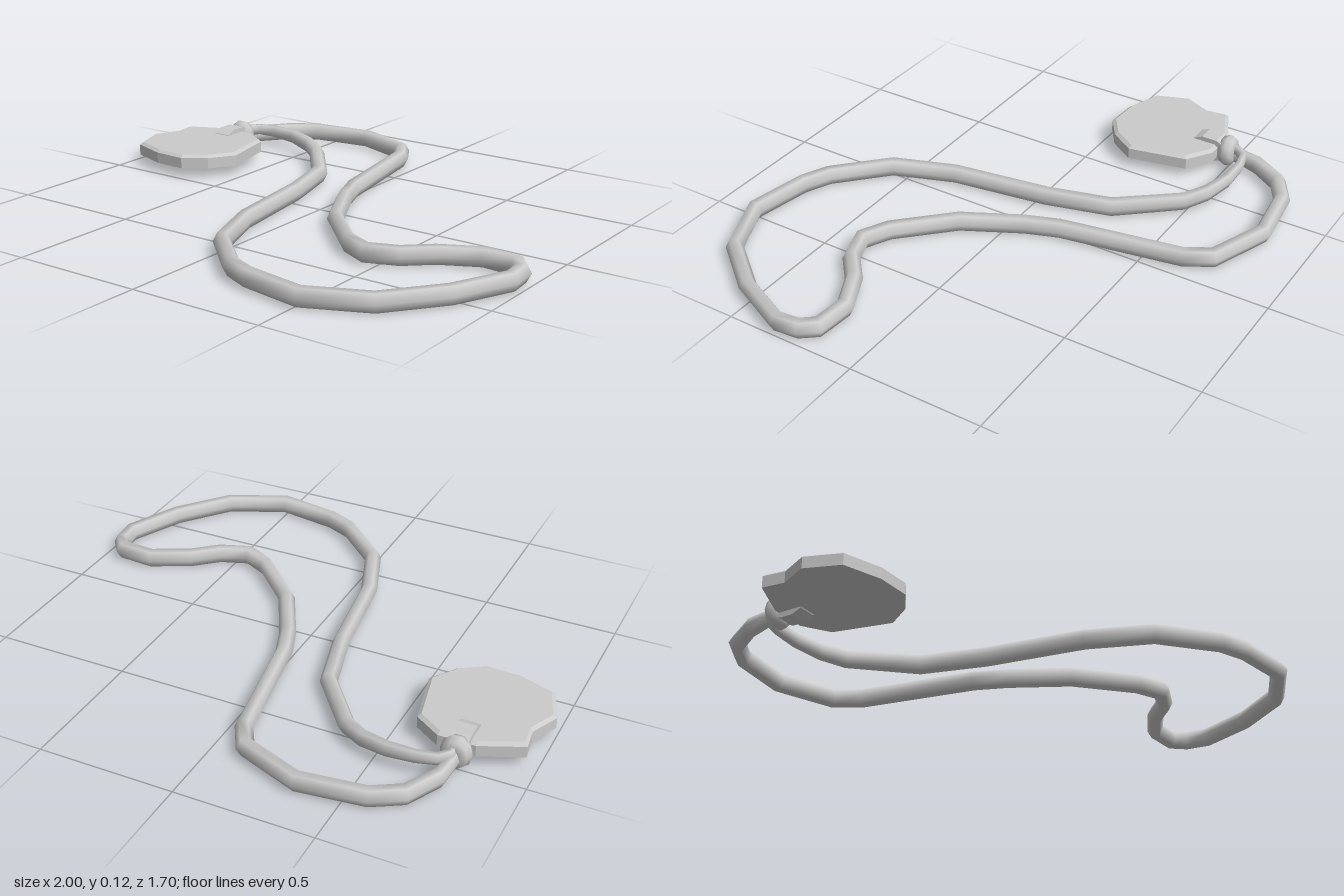
import * as THREE from 'three';

const grey = new THREE.MeshStandardMaterial({ color: 0xcccccc });

function addMesh(group, name, geometry) {
  const mesh = new THREE.Mesh(geometry, grey);
  mesh.name = name;
  group.add(mesh);
  return mesh;
}

// Six-sided cord swept with mitred corners; each point is [x, z, y, half width, half height].
function sweepCord(points) {
  const sides = 6, positions = [], index = [];
  const dir = (a, b) => new THREE.Vector2(b[0] - a[0], b[1] - a[1]).normalize();
  points.forEach((p, i) => {
    const before = dir(points[Math.max(i - 1, 0)], points[Math.max(i, 1)]);
    const last = points.length - 1;
    const after = dir(points[Math.min(i, last - 1)], points[Math.min(i + 1, last)]);
    const t = before.clone().add(after).normalize();
    const mitre = 1 / Math.max(t.dot(after), 0.7);
    const [x, z, y = 0.043, w = 0.031, h = 0.031] = p;
    for (let k = 0; k < sides; k++) {
      const a = (k / sides) * Math.PI * 2;
      const out = Math.cos(a) * w * mitre;
      positions.push(x + t.y * out, y + (Math.sin(a) * h) / Math.sin(Math.PI / 3), z - t.x * out);
      if (i < last) {
        const n = (k + 1) % sides, r = i * sides;
        const [A, B, C, D] = [r + k, r + n, r + sides + k, r + sides + n];
        index.push(A, B, C, B, D, C);
      }
    }
  });
  const g = new THREE.BufferGeometry();
  g.setAttribute('position', new THREE.Float32BufferAttribute(positions, 3));
  g.setIndex(index);
  g.computeVertexNormals();
  return g;
}

// Irregular flat plate with a small chamfer around its top edge.
function plateGeometry() {
  const outline = [
    [-0.96, -0.39], [-0.81, -0.457], [-0.676, -0.457], [-0.58, -0.393], [-0.532, -0.171], [-0.596, -0.075],
    [-0.682, -0.016], [-0.81, -0.021], [-0.949, -0.07], [-0.997, -0.198], [-0.949, -0.305],
  ];
  const shape = new THREE.Shape(outline.map(([x, z]) => new THREE.Vector2(x, -z)));
  const depth = 0.052, cx = -0.765, cy = 0.235;
  const g = new THREE.ExtrudeGeometry(shape, { depth, steps: 2, bevelEnabled: false });
  const p = g.attributes.position;
  for (let i = 0; i < p.count; i++) {
    if (p.getZ(i) > depth * 0.9) {
      p.setX(i, cx + (p.getX(i) - cx) * 0.94);
      p.setY(i, cy + (p.getY(i) - cy) * 0.94);
    } else if (p.getZ(i) > depth * 0.1) p.setZ(i, depth - 0.01);
  }
  g.computeVertexNormals();
  return g.rotateX(-Math.PI / 2).translate(0, 0.044, 0);
}

// Flat band wrapped over and under the plate edge: side profile in (z, y), extruded in x.
function bandGeometry() {
  const width = 0.07;
  const outer = [[-0.49, 0.04], [-0.45, 0.024], [-0.40, 0.024], [-0.365, 0.04], [-0.35, 0.07],
    [-0.355, 0.098], [-0.39, 0.114], [-0.45, 0.114], [-0.49, 0.095]];
  const shape = new THREE.Shape(outer.map(([z, y]) => new THREE.Vector2(-z, y)));
  const g = new THREE.ExtrudeGeometry(shape, { depth: width, bevelEnabled: false });
  return g.rotateY(Math.PI / 2).translate(-0.755 - width / 2, 0, 0);
}

export function createModel() {
  const group = new THREE.Group();
  group.name = 'pendantNecklace';

  // Cord: out of the knot, round the far loop and back, thinning as it rises into the knot
  addMesh(group, 'cord', sweepCord([
    [-0.757, -0.48, 0.06, 0.02, 0.025], [-0.757, -0.53, 0.055, 0.022, 0.027], [-0.745, -0.615, 0.048, 0.027],
    [-0.68, -0.73], [-0.58, -0.79], [-0.345, -0.82], [-0.12, -0.735], [-0.065, -0.64],
    [0.015, -0.19], [0.06, -0.07], [0.17, 0.14], [0.35, 0.32], [0.45, 0.37], [0.56, 0.33],
    [0.65, 0.25], [0.79, 0.18], [0.92, 0.19], [0.96, 0.24], [0.968, 0.325], [0.875, 0.53],
    [0.725, 0.72], [0.51, 0.815], [0.28, 0.775], [0.18, 0.73], [0.0, 0.56], [-0.085, 0.33],
    [-0.14, -0.04], [-0.205, -0.28], [-0.37, -0.49, 0.049, 0.03, 0.028], [-0.45, -0.545, 0.06, 0.026, 0.027],
    [-0.55, -0.577, 0.072, 0.022, 0.025], [-0.65, -0.58, 0.078, 0.018, 0.022],
    [-0.72, -0.565, 0.08, 0.016, 0.02], [-0.75, -0.53, 0.08, 0.016, 0.02], [-0.755, -0.48, 0.08, 0.016, 0.02],
  ]));

  // Plate and the band that holds it
  addMesh(group, 'pendantPlate', plateGeometry());
  addMesh(group, 'plateBand', bandGeometry());

  // Ring knot gathering the cord ends
  const knot = addMesh(group, 'knotRing', new THREE.TorusGeometry(0.024, 0.032, 8, 10));
  knot.scale.set(1, 1.12, 1.05);
  knot.position.set(-0.755, 0.067, -0.487);
  return group;
}
